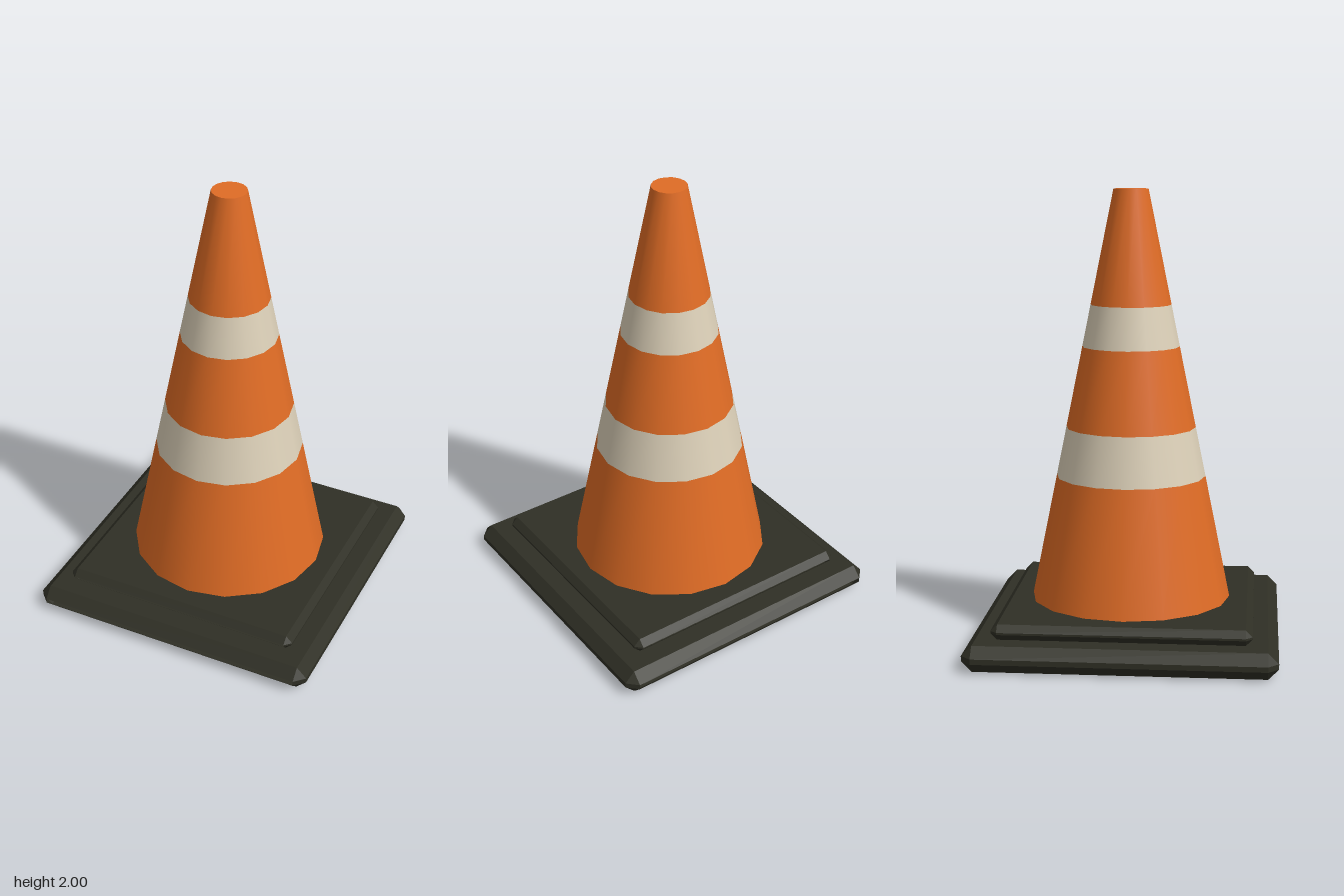
import * as THREE from 'three';

const orange = new THREE.MeshStandardMaterial({ color: 0xe06c25 });
orange.name = 'orange plastic';
const cream = new THREE.MeshStandardMaterial({ color: 0xddd1b9 });
cream.name = 'cream reflective band';
const rubber = new THREE.MeshStandardMaterial({ color: 0x2f2f25, side: THREE.DoubleSide });
rubber.name = 'dark rubber';

// Square plate with every edge bevelled; the narrow front and back rims are open slots
function bevelledPlate(half, y0, y1, bevel) {
  const inner = half - bevel;
  const ring = (y, out) => {
    const points = [];
    for (let k = 0; k < 4; k++) {
      const a = k * Math.PI / 2, c = Math.cos(a), s = Math.sin(a);
      for (const side of [-inner, inner]) {
        points.push(new THREE.Vector3(c * (inner + out) - s * side, y, -s * (inner + out) - c * side));
      }
    }
    return points;
  };
  const rings = [ring(y0, 0), ring(y0 + bevel, bevel), ring(y1 - bevel, bevel), ring(y1, 0)];
  const positions = [];
  const triangle = (a, b, c) => {
    if (new THREE.Triangle(a, b, c).getArea() > 1e-8) {
      for (const p of [a, b, c]) positions.push(p.x, p.y, p.z);
    }
  };
  const quad = (a, b, c, d) => { triangle(a, b, c); triangle(a, c, d); };

  for (let j = 0; j < 3; j++) {
    for (let p = 0; p < 8; p++) {
      if (j === 1 && (p === 2 || p === 6)) continue; // open slots
      const q = (p + 1) % 8;
      quad(rings[j][p], rings[j][q], rings[j + 1][q], rings[j + 1][p]);
    }
  }
  const [bottom, , , top] = rings;
  quad(top[0], top[2], top[4], top[6]);
  quad(bottom[6], bottom[4], bottom[2], bottom[0]);

  const geometry = new THREE.BufferGeometry();
  geometry.setAttribute('position', new THREE.Float32BufferAttribute(positions, 3));
  geometry.computeVertexNormals();
  return geometry;
}

export function createModel() {
  const model = new THREE.Group();
  model.name = 'trafficCone';
  const add = (name, geometry, material, y = 0) => {
    const mesh = new THREE.Mesh(geometry, material);
    mesh.name = name;
    mesh.position.y = y;
    model.add(mesh);
  };

  // Stepped base
  add('basePlate', bevelledPlate(0.665, 0, 0.113, 0.045), rubber);
  add('upperPlate', bevelledPlate(0.555, 0.113, 0.18, 0.029), rubber);

  // Tapered body in stacked bands
  const bottomY = 0.18, topY = 2, sides = 16;
  const radius = y => THREE.MathUtils.mapLinear(y, bottomY, topY, 0.445, 0.077);
  const bands = [
    ['lowerBody', bottomY, 0.73, orange],
    ['lowerStripe', 0.73, 0.95, cream],
    ['middleBody', 0.95, 1.31, orange],
    ['upperStripe', 1.31, 1.495, cream],
    ['upperBody', 1.495, topY, orange],
  ];
  for (const [name, y0, y1, material] of bands) {
    add(name, new THREE.CylinderGeometry(radius(y1), radius(y0), y1 - y0, sides, 1, true), material, (y0 + y1) / 2);
  }

  // Flat tip
  add('tipCap', new THREE.CircleGeometry(radius(topY), sides).rotateX(-Math.PI / 2), orange, topY);
  return model;
}
